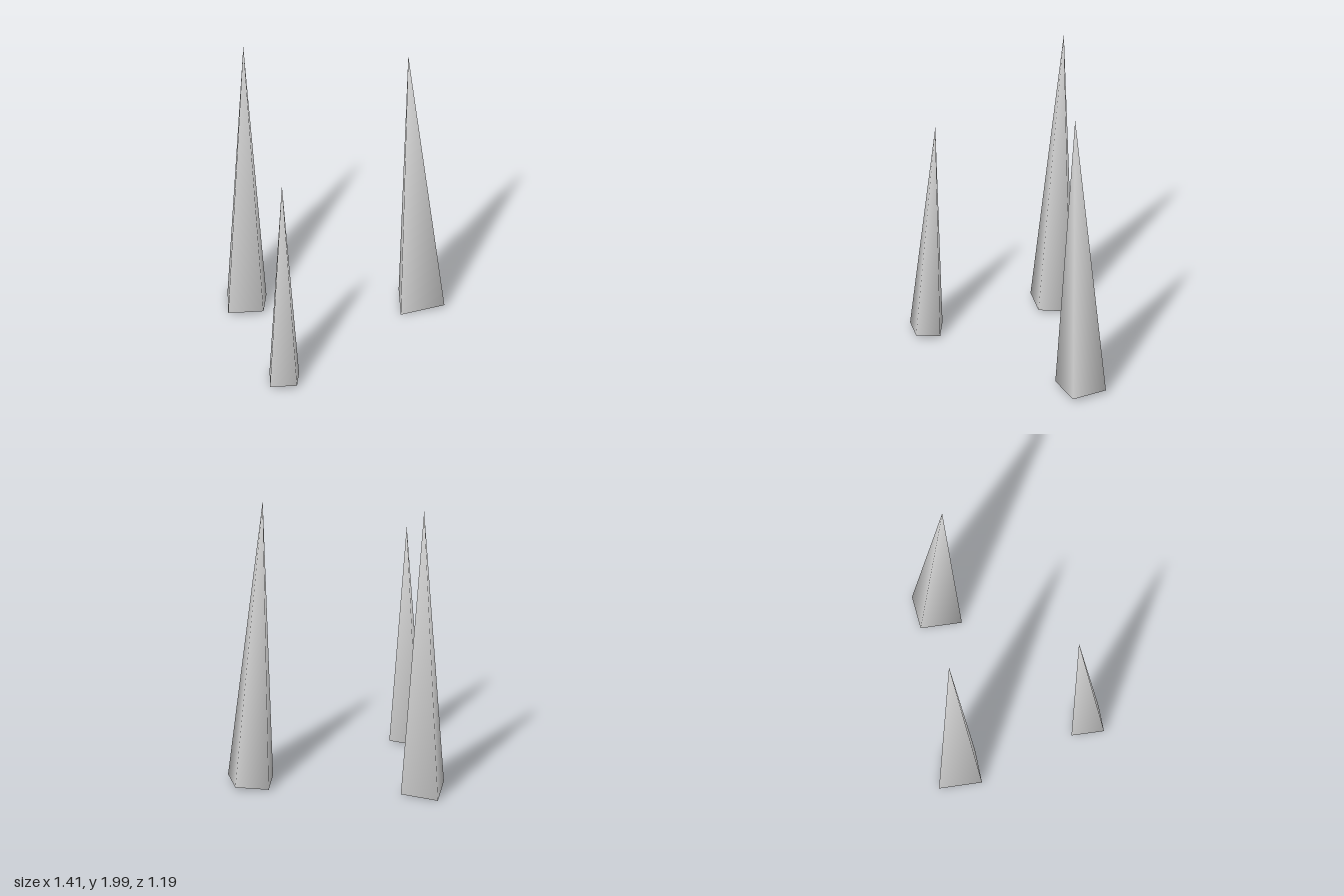
import * as THREE from 'three';

// Open-bottomed four-sided spike: base corners run back-left, back-right, front-right, front-left
function spikeGeometry(apex, base) {
  const n = base.length;
  const index = [];
  for (let i = 0; i < n; i++) index.push((i + 1) % n, i, n);
  const geometry = new THREE.BufferGeometry();
  geometry.setAttribute('position', new THREE.Float32BufferAttribute([...base, apex].flat(), 3));
  geometry.setIndex(index);
  geometry.computeVertexNormals(); // shared corners keep the shading smooth
  return geometry;
}

export function createModel() {
  const group = new THREE.Group();
  group.name = 'spikes';
  const stone = new THREE.MeshStandardMaterial({ color: 0xcccccc, side: THREE.DoubleSide });
  stone.name = 'pale grey';

  const spikes = {
    tallLeaningSpike: {
      apex: [0.467, 1.965, -0.41],
      base: [[0.397, 0.012, -0.553], [0.608, 0.028, -0.598], [0.702, 0.025, -0.378], [0.425, 0.004, -0.285]],
    },
    tallUprightSpike: {
      apex: [-0.6, 1.99, -0.42],
      base: [[-0.705, 0.003, -0.49], [-0.452, 0.012, -0.45], [-0.46, 0.027, -0.245], [-0.686, 0.027, -0.211]],
    },
    shortSpike: {
      apex: [-0.305, 1.51, 0.435],
      base: [[-0.387, 0.01, 0.382], [-0.195, 0.014, 0.412], [-0.2, 0.024, 0.567], [-0.373, 0.025, 0.593]],
    },
  };

  for (const [name, { apex, base }] of Object.entries(spikes)) {
    const mesh = new THREE.Mesh(spikeGeometry(apex, base), stone);
    mesh.name = name;
    group.add(mesh);
  }
  return group;
}
